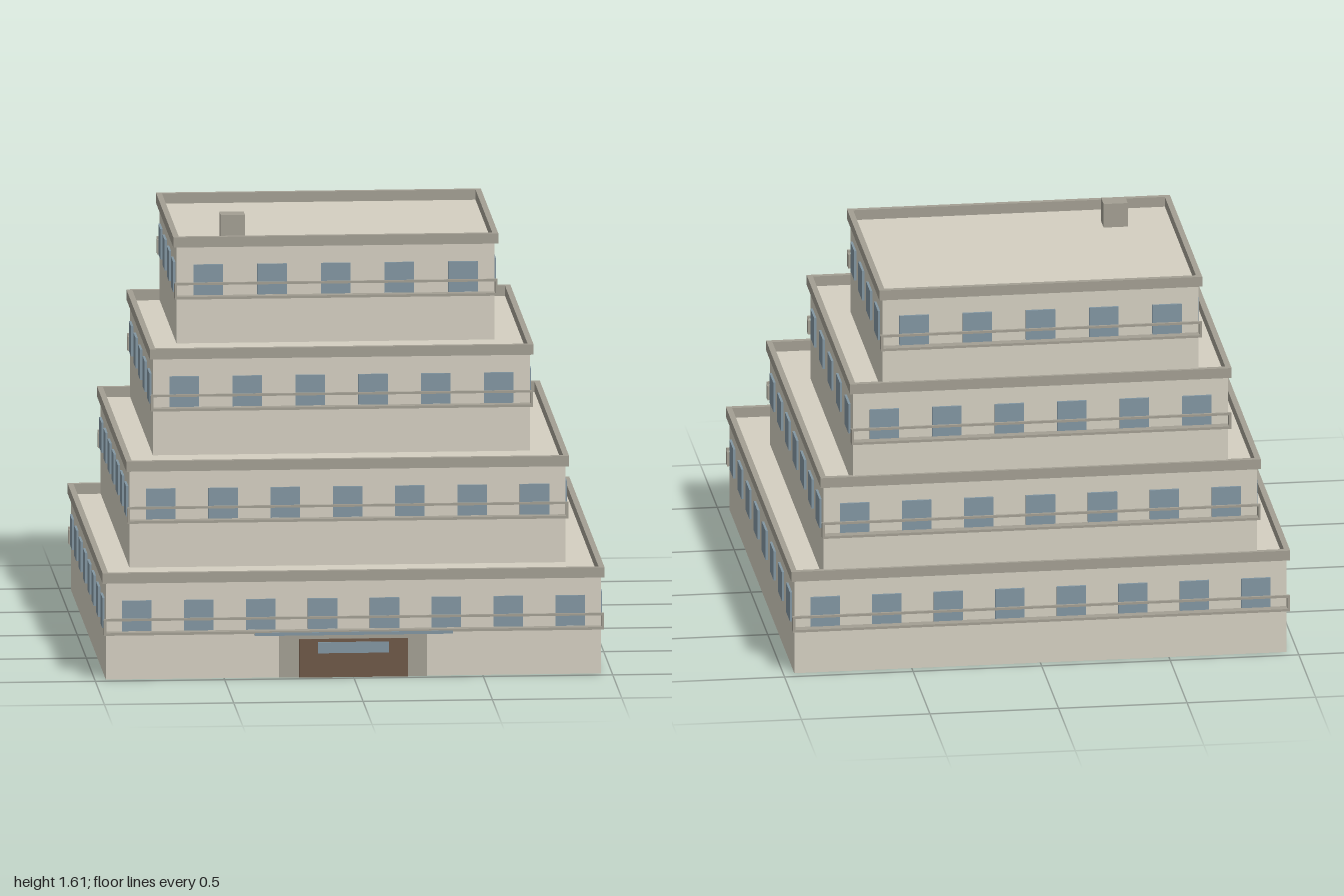
import * as THREE from 'three';

const material = (color) => new THREE.MeshStandardMaterial({ color });

export function createModel() {
  const building = new THREE.Group();
  building.name = 'terracedBuilding';
  const wall = material(0xd4cfc1);
  const trim = material(0xa39f93);
  const glass = material(0x8296a2);
  const wood = material(0x6e5848);

  // Box given by its min and max along each axis
  const box = (parent, name, mat, [x0, x1], [y0, y1], [z0, z1]) => {
    const mesh = new THREE.Mesh(new THREE.BoxGeometry(x1 - x0, y1 - y0, z1 - z0), mat);
    mesh.position.set((x0 + x1) / 2, (y0 + y1) / 2, (z0 + z1) / 2);
    mesh.name = name;
    parent.add(mesh);
  };

  const H = 0.378; // storey height
  const BACK = -0.961;
  const WIN = 0.057; // half window width
  const storeys = [
    { half: 0.957, front: 0.965 },
    { half: 0.843, front: 0.638 },
    { half: 0.729, front: 0.305 },
    { half: 0.615, front: -0.02 },
  ];

  storeys.forEach(({ half, front }, i) => {
    const storey = new THREE.Group();
    storey.name = `storey${i + 1}`;
    storey.position.y = i * H;
    building.add(storey);

    box(storey, 'walls', wall, [-half, half], [0, H], [BACK, front]);

    // Parapet: four bars around the roof edge
    const out = 0.013, inn = 0.009, py = [H, H + 0.04];
    for (const z of [front, BACK]) {
      const s = z === front ? 1 : -1;
      const zs = [z - s * inn, z + s * out].sort((a, b) => a - b);
      box(storey, 'parapetBar', trim, [-half - out, half + out], py, zs);
    }
    for (const s of [-1, 1]) {
      const xs = [s * (half - inn), s * (half + out)].sort((a, b) => a - b);
      box(storey, 'parapetBar', trim, xs, py, [BACK + inn, front - inn]);
    }

    // Windows on all four sides
    const wy = [0.19, 0.309];
    const across = 8 - i;
    for (let k = 0; k < across; k++) {
      const x = -half + (k + 0.5) * 2 * half / across;
      for (const z of [front, BACK])
        box(storey, 'window', glass, [x - WIN, x + WIN], wy, [z - 0.009, z + 0.009]);
    }
    const depth = front - BACK;
    const along = Math.round(depth / 0.24);
    for (let k = 0; k < along; k++) {
      const z = BACK + (k + 0.5) * depth / along;
      for (const x of [-half, half])
        box(storey, 'window', glass, [x - 0.009, x + 0.009], wy, [z - WIN, z + WIN]);
    }

    // Balconies front and back: slab, rail and end plates
    const w = half + 0.009;
    for (const [z, s] of [[front, 1], [BACK, -1]]) {
      const balcony = new THREE.Group();
      balcony.name = s > 0 ? 'frontBalcony' : 'backBalcony';
      storey.add(balcony);
      const edge = z + s * 0.036;
      const span = (a, b) => [Math.min(a, b), Math.max(a, b)];
      box(balcony, 'balconySlab', trim, [-w, w], [0.178, 0.188], span(z, edge));
      box(balcony, 'balconyRail', trim, [-w, w], [0.234, 0.243], span(edge - s * 0.01, edge));
      for (const x of [-w, w - 0.009])
        box(balcony, 'balconyEnd', trim, [x, x + 0.009], [0.188, 0.234], span(z, edge));
    }
  });

  // Entrance
  const entrance = new THREE.Group();
  entrance.name = 'entrance';
  building.add(entrance);
  box(entrance, 'doorSurround', trim, [-0.285, 0.285], [0, 0.178], [0.96, 0.97]);
  box(entrance, 'door', wood, [-0.21, 0.21], [0, 0.15], [0.96, 0.976]);
  box(entrance, 'doorGlass', glass, [-0.137, 0.137], [0.095, 0.138], [0.96, 0.98]);
  box(entrance, 'canopy', glass, [-0.383, 0.383], [0.17, 0.182], [0.96, 1.003]);

  // Roof vent
  box(building, 'roofVent', trim, [-0.434, -0.34], [4 * H, 1.608], [-0.241, -0.166]);

  return building;
}
